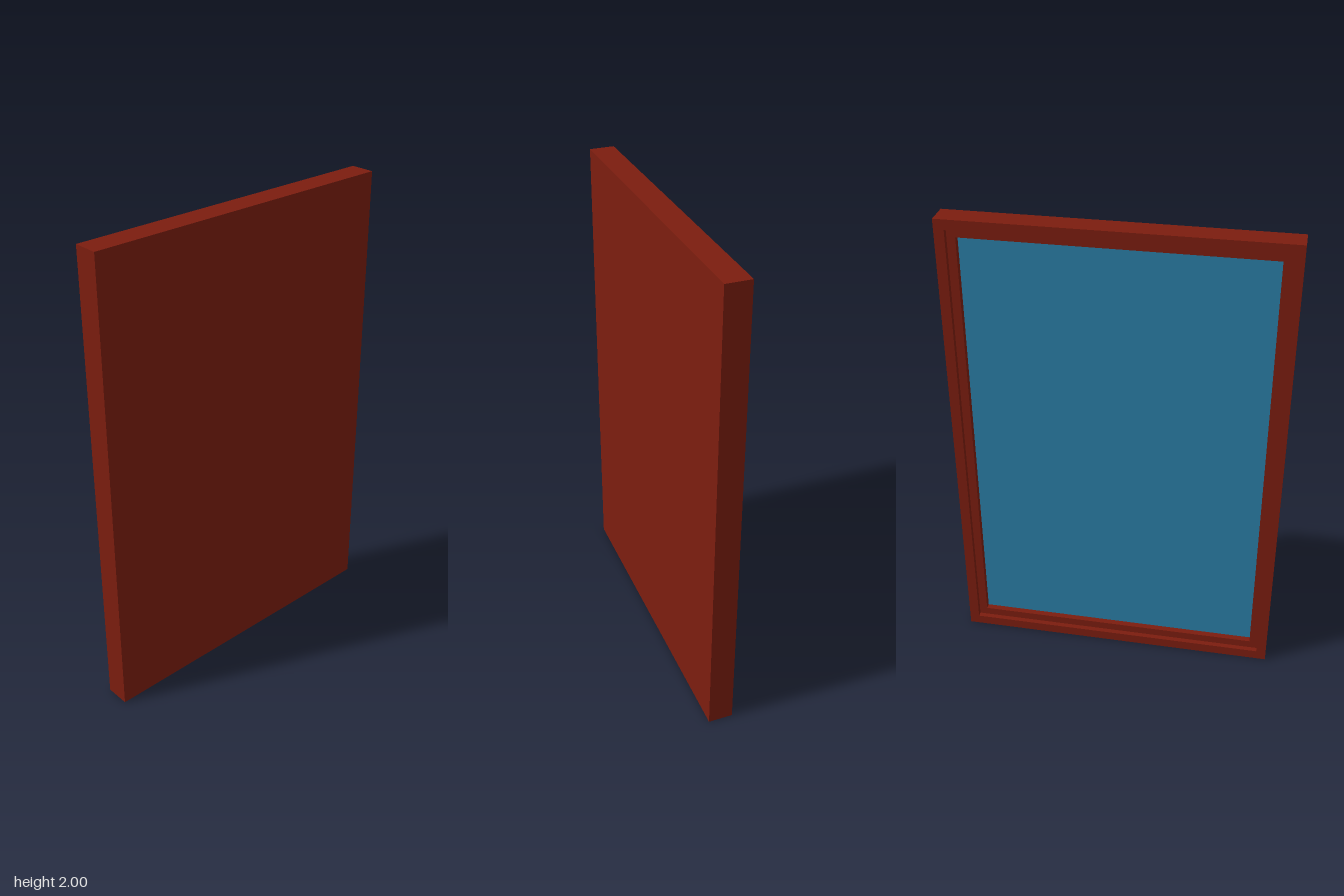
import * as THREE from 'three';

const HEIGHT = 2, WIDTH = 1.385, HALF_DEPTH = 0.052;

// Rectangle outline inset from the outer edge of the frame
function outline(inset, Type) {
  const w = WIDTH / 2 - inset, h = HEIGHT - inset;
  return new Type([
    new THREE.Vector2(-w, inset), new THREE.Vector2(w, inset),
    new THREE.Vector2(w, h), new THREE.Vector2(-w, h),
  ]);
}

// Layer reaching from x = from towards -x, with an optional rectangular opening
function layer(name, from, to, inset, opening, material) {
  const shape = outline(inset, THREE.Shape);
  if (opening) shape.holes.push(outline(opening, THREE.Path));
  const geometry = new THREE.ExtrudeGeometry(shape, { depth: from - to, bevelEnabled: false });
  geometry.rotateY(-Math.PI / 2);
  geometry.translate(from, 0, 0);
  const mesh = new THREE.Mesh(geometry, material);
  mesh.name = name;
  return mesh;
}

export function createModel() {
  const model = new THREE.Group();
  model.name = 'framedPanel';
  const wood = new THREE.MeshStandardMaterial({ color: 0x7c1d0f });
  const blue = new THREE.MeshStandardMaterial({ color: 0x2a7ea6 });

  // Solid backing, then two stepped frame rings around the recessed pane
  model.add(layer('backPanel', HALF_DEPTH, 0, 0, 0, wood));
  model.add(layer('innerFrame', 0, -0.03, 0, 0.077, wood));
  model.add(layer('outerFrame', -0.03, -HALF_DEPTH, 0, 0.042, wood));
  model.add(layer('pane', 0.002, -0.004, 0.077, 0, blue));
  return model;
}
